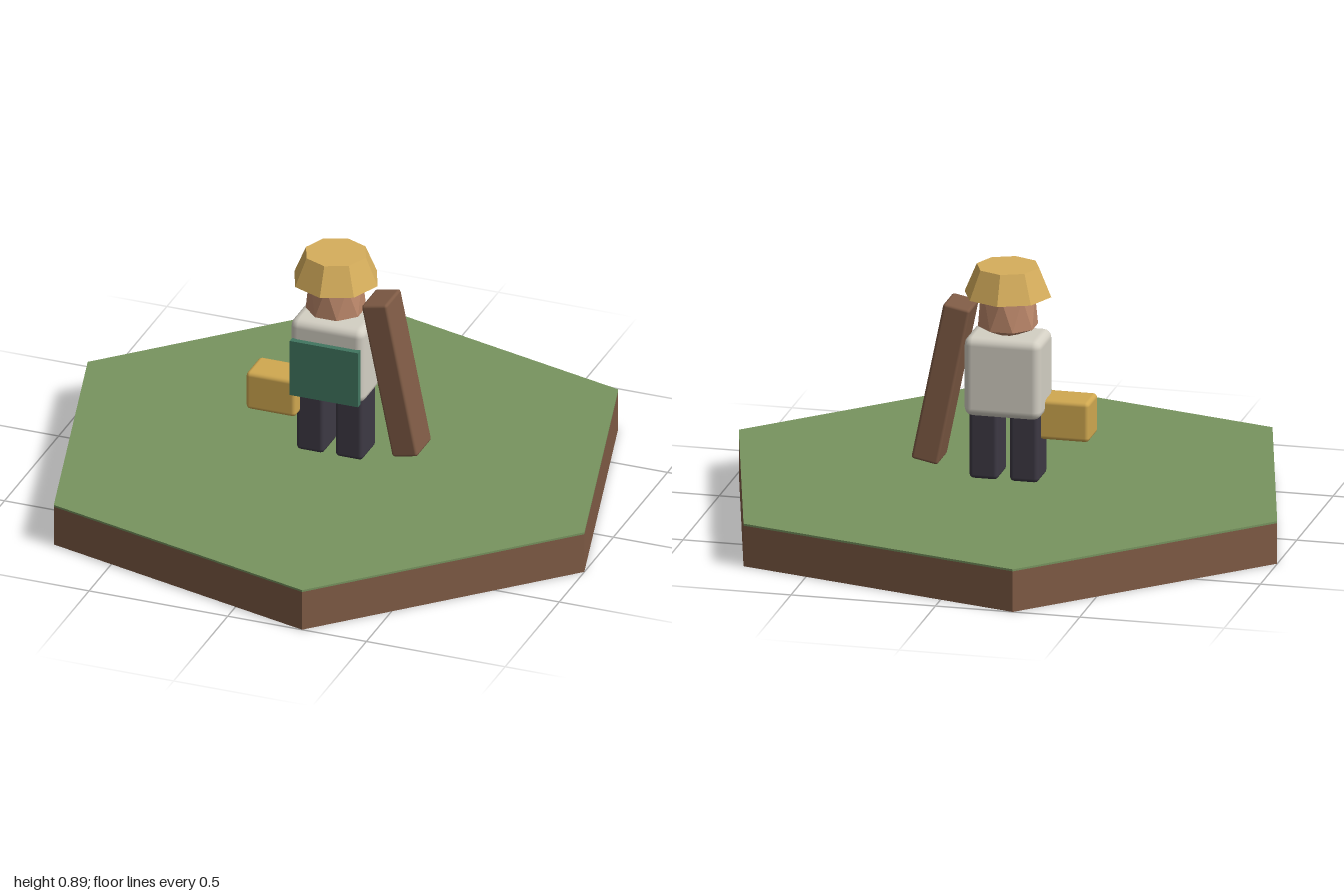
import * as THREE from 'three';
import { RoundedBoxGeometry } from 'three/addons/geometries/RoundedBoxGeometry.js';
import { ConvexGeometry } from 'three/addons/geometries/ConvexGeometry.js';

export function createModel() {
  const model = new THREE.Group();
  model.name = 'farmerOnTile';

  const mat = (name, color, flatShading = false) => {
    const m = new THREE.MeshStandardMaterial({ color, flatShading });
    m.name = name;
    return m;
  };
  const grass = mat('grass', 0x78945f, true);
  const earth = mat('earth', 0x7f5b45, true);
  const wood = mat('wood', 0x7f5b45);
  const straw = mat('straw', 0xd6ae5c, true);
  const wicker = mat('wicker', 0xd0a850);
  const skin = mat('skin', 0xbf8a6c, true);
  const shirt = mat('shirt', 0xd4d0c4);
  const trousers = mat('trousers', 0x3d3944);
  const apronGreen = mat('apronGreen', 0x417660);

  const add = (name, geometry, material, x, y, z) => {
    const mesh = new THREE.Mesh(geometry, material);
    mesh.name = name;
    mesh.position.set(x, y, z);
    model.add(mesh);
    return mesh;
  };
  const rounded = (w, h, d, r) => new RoundedBoxGeometry(w, h, d, 2, r);

  // Hexagonal ground tile: earth slab with a thin grass layer
  const hex = (h) => new THREE.CylinderGeometry(1.035, 1.035, h, 6, 1, false, Math.PI / 12);
  add('earthSlab', hex(0.143), earth, 0, 0.0715, 0);
  add('grassLayer', hex(0.007), grass, 0, 0.1465, 0);

  // Legs
  for (const [name, side] of [['leftLeg', 1], ['rightLeg', -1]]) {
    add(name, rounded(0.1, 0.25, 0.13, 0.015), trousers, side * 0.07, 0.275, 0);
  }

  // Torso and apron
  add('torso', rounded(0.268, 0.28, 0.184, 0.03), shirt, 0, 0.515, 0);
  add('apron', new THREE.BoxGeometry(0.246, 0.205, 0.025), apronGreen, 0, 0.4825, 0.1);

  // Faceted head: two staggered rings and a point in the collar
  const points = [new THREE.Vector3(0, -0.1, 0)];
  for (let i = 0; i < 8; i++) {
    const a = (i * Math.PI) / 4;
    const b = a + Math.PI / 8;
    points.push(new THREE.Vector3(0.094 * Math.sin(a), 0.06, 0.094 * Math.cos(a)));
    points.push(new THREE.Vector3(0.102 * Math.sin(b), -0.055, 0.102 * Math.cos(b)));
  }
  add('head', new ConvexGeometry(points), skin, 0, 0.737, 0);

  // Straw hat
  add('strawHat', new THREE.CylinderGeometry(0.108, 0.15, 0.1, 8), straw, 0, 0.84, 0);

  // Basket at the right hip
  add('basket', rounded(0.18, 0.14, 0.13, 0.015), wicker, -0.195, 0.362, 0.042);

  // Plank leaning against the left shoulder
  add('plank', rounded(0.094, 0.565, 0.135, 0.01), wood, 0.218, 0.474, 0).rotation.z = 0.2;

  return model;
}
